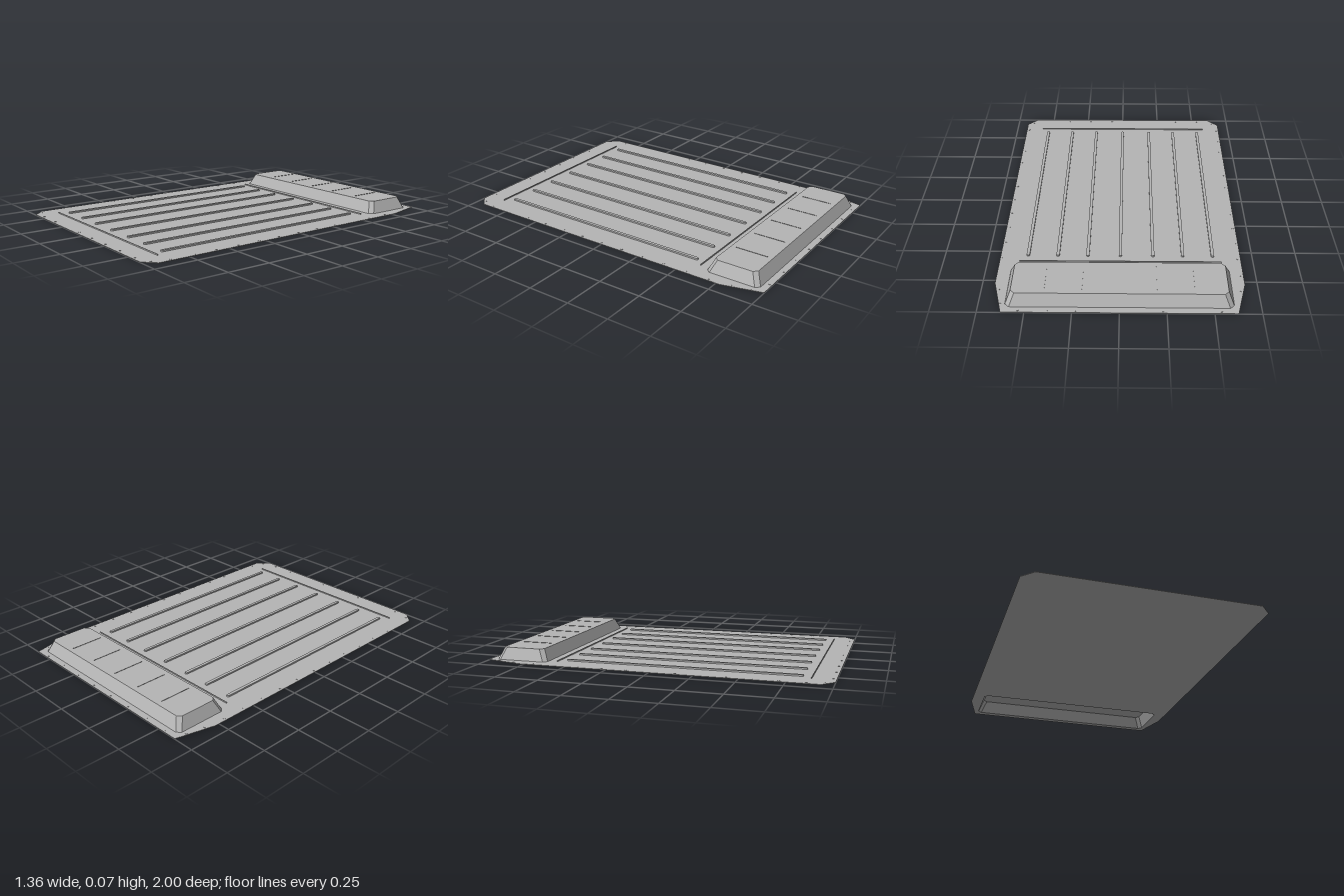
import * as THREE from 'three';

const SHEET = 0.003; // sheet thickness
const PAN_TOP = 0.072;

// Counter-clockwise octagon (x, -z) for a chamfered rectangle
function octagon(halfW, zBack, zFront, c) {
  const t = -zBack, b = -zFront;
  return [
    [halfW - c, b], [halfW, b + c], [halfW, t - c], [halfW - c, t],
    [-halfW + c, t], [-halfW, t - c], [-halfW, b + c], [-halfW + c, b],
  ].map(([x, y]) => new THREE.Vector2(x, y));
}

// Extrude an outline drawn in plan upwards from y = 0
function extrudeUp(shape, depth, curveSegments = 8) {
  const geo = new THREE.ExtrudeGeometry(shape, { depth, bevelEnabled: false, curveSegments });
  return geo.rotateX(-Math.PI / 2);
}

// Raised hollow pan: sloped walls between two octagons plus a flat lid
function panGeometry(base, top) {
  const pos = [];
  const put = (p, y) => pos.push(p.x, y, -p.y);
  const n = base.length;
  for (let i = 0; i < n; i++) {
    const j = (i + 1) % n;
    put(base[i], 0); put(base[j], 0); put(top[j], PAN_TOP);
    put(base[i], 0); put(top[j], PAN_TOP); put(top[i], PAN_TOP);
    if (i > 0 && i < n - 1) {
      put(top[0], PAN_TOP); put(top[i], PAN_TOP); put(top[j], PAN_TOP);
    }
  }
  const geo = new THREE.BufferGeometry();
  geo.setAttribute('position', new THREE.Float32BufferAttribute(pos, 3));
  geo.computeVertexNormals();
  return geo;
}

export function createModel() {
  const group = new THREE.Group();
  group.name = 'ribbedPanel';
  const metal = new THREE.MeshStandardMaterial({ color: 0xb4b4b4, side: THREE.DoubleSide });
  metal.name = 'greyMetal';

  const add = (name, geo, x = 0, y = 0, z = 0) => {
    const mesh = new THREE.Mesh(geo, metal);
    mesh.name = name;
    mesh.position.set(x, y, z);
    group.add(mesh);
  };

  // Flat sheet with clipped corners and an opening under the pan
  const base = octagon(0.608, -0.96, -0.643, 0.022);
  const top = octagon(0.578, -0.928, -0.676, 0.022);
  const outline = new THREE.Shape([
    [-0.615, -1], [0.615, -1], [0.682, -0.934], [0.682, 0.775],
    [0.625, 1], [-0.625, 1], [-0.682, 0.775], [-0.682, -0.934],
  ].map(([x, y]) => new THREE.Vector2(x, y)));
  outline.holes.push(new THREE.Path(base.slice().reverse()));
  add('sheet', extrudeUp(outline, SHEET));

  // Raised pan at the back
  add('raisedPan', panGeometry(base, top));

  // Fine seams across the pan lid
  const seam = new THREE.BoxGeometry(0.003, 0.002, 0.19);
  for (let i = -2; i <= 2; i++) add('panSeam', seam, i * 0.2, PAN_TOP + 0.001, -0.802);

  // Long ribs with rounded ends
  const r = 0.009, zBack = -0.545, zFront = 0.823;
  const ribShape = new THREE.Shape();
  ribShape.absarc(0, -zBack - r, r, 0, Math.PI);
  ribShape.absarc(0, -zFront + r, r, Math.PI, Math.PI * 2);
  const rib = extrudeUp(ribShape, 0.012);
  for (const x of [-0.525, -0.355, -0.185, 0, 0.185, 0.355, 0.525]) add('rib', rib, x);

  // Narrow cross strips before and behind the ribs
  const strip = new THREE.BoxGeometry(1.14, 0.01, 0.004);
  for (const z of [-0.59, 0.87]) add('crossStrip', strip, 0, 0.005, z);

  // Rivets around the rim
  const rivet = new THREE.CylinderGeometry(0.006, 0.006, 0.002, 10);
  const addRivet = (x, z) => add('rivet', rivet, x, SHEET + 0.0005, z);
  for (let i = 0; i < 8; i++) {
    const x = (i - 3.5) * 0.153;
    addRivet(x, -0.985);
    addRivet(x, 0.98);
  }
  for (const s of [-1, 1]) {
    for (let i = 0; i < 12; i++) addRivet(s * 0.666, -0.7 + i * 0.1414);
    addRivet(s * 0.64, 0.955);
    addRivet(s * 0.632, -0.93);
    addRivet(s * 0.655, -0.825);
  }
  return group;
}
